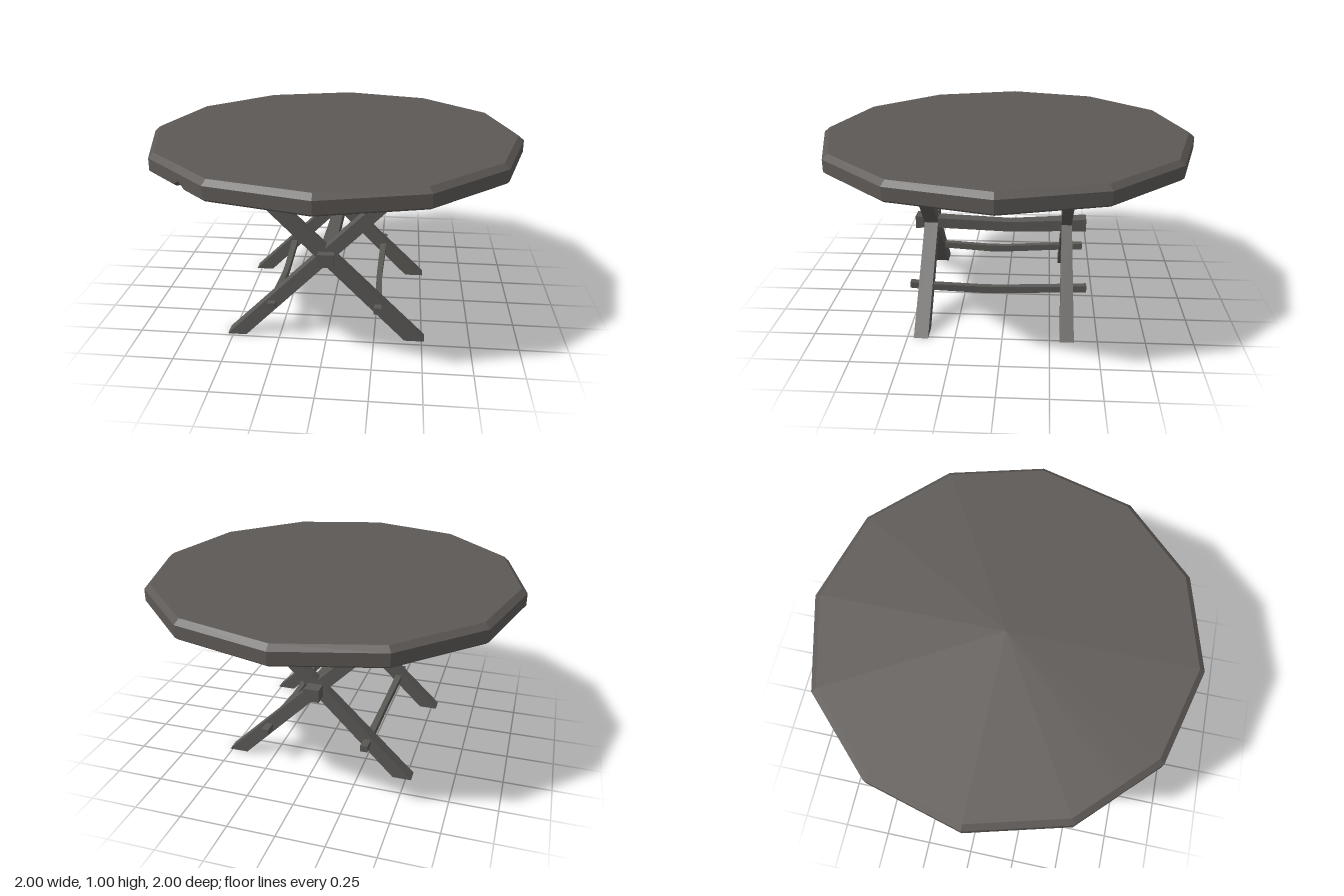
import * as THREE from 'three';

const wood = new THREE.MeshStandardMaterial({ color: 0x5c5855 });
wood.name = 'dark wood';
const legWood = new THREE.MeshStandardMaterial({ color: 0x5a5855 });
legWood.name = 'leg wood';

// Skin a row of equal rings (arrays of Vector3) with flat faces.
function loft(rings, closed = false) {
  const pos = [];
  const tri = (a, b, c) => {
    const n = b.clone().sub(a).cross(c.clone().sub(a));
    if (n.length() > 1e-9) for (const p of [a, b, c]) pos.push(p.x, p.y, p.z);
  };
  const n = rings[0].length;
  const steps = closed ? rings.length : rings.length - 1;
  for (let i = 0; i < steps; i++) {
    const a = rings[i], b = rings[(i + 1) % rings.length];
    for (let j = 0; j < n; j++) {
      const k = (j + 1) % n;
      tri(a[j], a[k], b[k]);
      tri(a[j], b[k], b[j]);
    }
  }
  if (!closed) {
    const s = rings[0], e = rings[rings.length - 1];
    for (let j = 1; j < n - 1; j++) {
      tri(s[0], s[j + 1], s[j]);
      tri(e[0], e[j], e[j + 1]);
    }
  }
  const g = new THREE.BufferGeometry();
  g.setAttribute('position', new THREE.Float32BufferAttribute(pos, 3));
  g.computeVertexNormals();
  return g;
}

function add(group, name, geometry, material) {
  const mesh = new THREE.Mesh(geometry, material);
  mesh.name = name;
  group.add(mesh);
  return mesh;
}

// Twelve-sided top: bevelled rim, recessed underside, one small chip in the rim.
function topGeometry() {
  const profile = [[0, 0.95], [0.925, 0.95], [0.935, 0.9], [0.985, 0.9], [1, 0.912], [1, 0.975], [0.97, 1], [0, 1]];
  const chipped = profile.map((p) => [...p]);
  chipped[2][1] = 0.915;
  chipped[3] = [0.975, 0.93];
  chipped[4] = [1, 0.938];
  const corner = (i) => new THREE.Vector3(Math.cos(i * Math.PI / 6), 0, Math.sin(i * Math.PI / 6));
  const rings = [];
  const station = (i, f, prof) => {
    const d = corner(i).lerp(corner(i + 1), f);
    rings.push(prof.map(([r, y]) => new THREE.Vector3(d.x * r, y, d.z * r)));
  };
  for (let i = 0; i < 12; i++) {
    station(i, 0, profile);
    if (i === 4) {
      station(i, 0.32, profile);
      station(i, 0.42, chipped);
      station(i, 0.51, profile);
    }
  }
  return loft(rings, true);
}

// Slanted leg from horizontal sections [y, x0, x1, zBack, zFront].
function legGeometry(sections) {
  return loft(sections.map(([y, x0, x1, zb, zf]) => [
    new THREE.Vector3(x0, y, zf), new THREE.Vector3(x1, y, zf),
    new THREE.Vector3(x1, y, zb), new THREE.Vector3(x0, y, zb)]));
}

// Sagging rail along z from sections [z, yLow, yHigh, halfWidth, xShift].
function railGeometry(x, sections) {
  return loft(sections.map(([z, y0, y1, w, s = 0]) => [
    new THREE.Vector3(x + s - w, y0, z), new THREE.Vector3(x + s + w, y0, z),
    new THREE.Vector3(x + s + w, y1, z), new THREE.Vector3(x + s - w, y1, z)]));
}

export function createModel() {
  const table = new THREE.Group();
  table.name = 'foldingTable';

  add(table, 'tableTop', topGeometry(), wood);

  // Battens under the top
  for (const [x, len] of [[-0.5, 1.56], [0, 1.8], [0.5, 1.56]]) {
    add(table, 'batten', new THREE.BoxGeometry(0.11, 0.038, len), wood).position.set(x - 0.03 * Math.sign(x), 0.933, 0);
  }

  // Crossed legs; the front one has a chip across its outer face
  const T = 0.92;
  const legX = (y) => {
    const k = y / 0.9;
    return [0.41 - 0.9 * k, 0.515 - 0.915 * k];
  };
  const chip = [[0.75, 0], [0.73, 0.016], [0.712, 0]].reverse()
    .map(([y, d]) => [y, ...legX(y), 0.388, 0.463 - d]);
  add(table, 'frontLegA', legGeometry([
    [0, ...legX(0), 0.39, 0.466], ...chip, [T, ...legX(T), 0.386, 0.462]]), legWood);
  add(table, 'frontLegB', legGeometry([
    [0, -0.53, -0.43, 0.405, 0.485], [0.47, -0.05, 0.046, 0.39, 0.465], [T, 0.41, 0.5, 0.384, 0.455]]), legWood);
  add(table, 'backLegA', legGeometry([
    [0, ...legX(0), -0.378, -0.303], [0.47, ...legX(0.47), -0.366, -0.308], [T, ...legX(T), -0.376, -0.303]]), legWood);
  add(table, 'backLegB', legGeometry([
    [0, -0.53, -0.43, -0.376, -0.303], [0.47, -0.05, 0.046, -0.364, -0.308], [T, 0.41, 0.5, -0.378, -0.302]]), legWood);

  // Central pivot beam and the two lower stretchers
  add(table, 'pivotBeam', railGeometry(0, [
    [-0.445, 0.43, 0.5, 0.042], [-0.33, 0.428, 0.492, 0.038], [-0.02, 0.415, 0.473, 0.033],
    [0.4, 0.433, 0.49, 0.038], [0.515, 0.43, 0.5, 0.042]]), legWood);
  for (const [x, s] of [[-0.285, 0.006], [0.268, -0.008]]) {
    add(table, 'lowerStretcher', railGeometry(x, [
      [-0.445, 0.177, 0.212, 0.02], [-0.33, 0.172, 0.207, 0.018], [0.02, 0.151, 0.189, 0.015, s],
      [0.12, 0.15, 0.189, 0.015, s], [0.4, 0.167, 0.202, 0.018], [0.515, 0.178, 0.212, 0.02]]), legWood);
  }
  return table;
}
